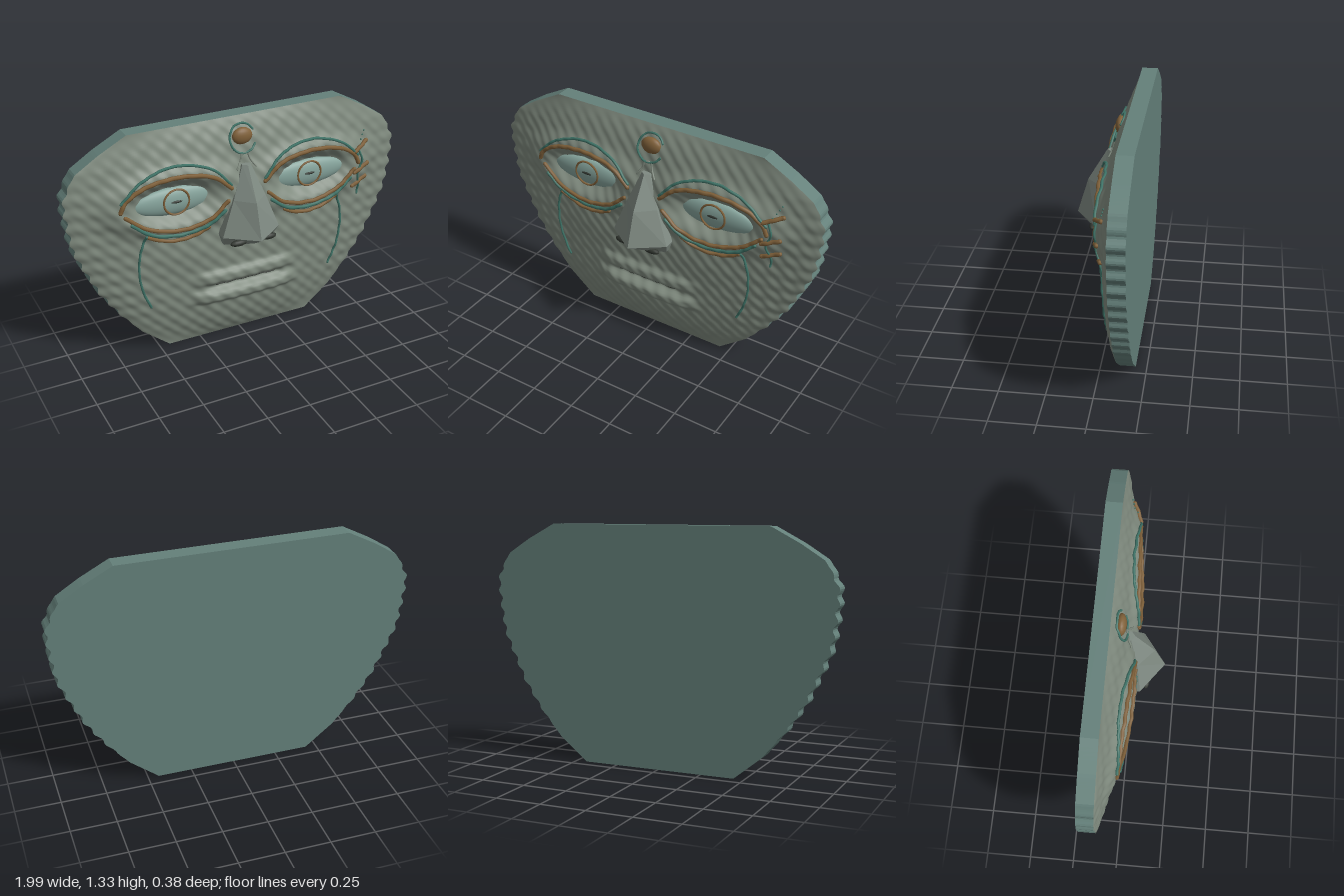
import * as THREE from 'three';

const H = 1.325, BACK = -0.19, EDGE = -0.1, ROWS = 130, COLS = 150;
const mat = (color, extra = {}) => new THREE.MeshStandardMaterial({ color, roughness: 0.8, ...extra });
const stone = mat(0x7f8a7e, { side: THREE.DoubleSide });
const slabMat = mat(0x64807a);
const noseMat = mat(0x7f8a82, { flatShading: true, side: THREE.DoubleSide });
const brown = mat(0x80613a), teal = mat(0x3f7468), eyeMat = mat(0x86a49c), dark = mat(0x30352f);

// half outline as [y, half width]
const OUTLINE = [[0, 0.44], [0.13, 0.6], [0.28, 0.725], [0.43, 0.825], [0.6, 0.905], [0.72, 0.955],
  [0.85, 0.975], [1, 0.99], [1.08, 0.965], [1.16, 0.915], [1.24, 0.79], [H, 0.63]];
function halfWidth(y) {
  let k = 1;
  while (k < OUTLINE.length - 1 && OUTLINE[k][0] < y) k++;
  const [y0, w0] = OUTLINE[k - 1], [y1, w1] = OUTLINE[k];
  const chips = 0.01 * Math.sin(y * 75) * THREE.MathUtils.smoothstep(y, 0.1, 0.4)
    * (1 - THREE.MathUtils.smoothstep(y, 1.05, 1.15));
  return w0 + (w1 - w0) * (y - y0) / (y1 - y0) + chips;
}

// height of the carved front
const bell = (d, s) => Math.exp(-((d / s) ** 2));
function surface(x, y) {
  const u = Math.min(1, Math.abs(x) / halfWidth(y)), v = 2 * y / H - 1;
  const inside = Math.max(0, 1 - u * u) ** 0.8 * Math.max(0, 1 - v ** 4);
  const ax = Math.abs(x);
  // eye sockets and their rims
  const e = Math.hypot((ax - 0.4) / 0.33, (y - 0.94) / 0.15);
  let z = EDGE + 0.1 * inside + 0.03 * bell(e - 1, 0.3) - 0.045 * Math.exp(-((e / 0.65) ** 4));
  // cheeks
  z += 0.012 * bell(ax - 0.35, 0.2) * bell(y - 0.62, 0.12);
  // lips
  const lip = (yc, w, h, s) => h * Math.exp(-(((y - yc) / s) ** 4)) * Math.exp(-((ax / w) ** 8));
  z += lip(0.425, 0.29, 0.028, 0.04) + lip(0.305, 0.3, 0.04, 0.04) - lip(0.37, 0.2, 0.012, 0.015);
  // tool marks
  return z + 0.0022 * Math.min(1, inside * 4) * (Math.sin((x + y) * 75) + 0.6 * Math.sin((x - y) * 48));
}

function faceGeometry() {
  const pos = [], idx = [];
  for (let j = 0; j <= ROWS; j++) {
    const y = H * j / ROWS, w = halfWidth(y);
    for (let i = 0; i <= COLS; i++) {
      const x = w * (2 * i / COLS - 1);
      pos.push(x, y, surface(x, y));
      if (i < COLS && j < ROWS) {
        const a = j * (COLS + 1) + i, c = a + COLS + 1;
        idx.push(a, a + 1, c, a + 1, c + 1, c);
      }
    }
  }
  const g = new THREE.BufferGeometry();
  g.setAttribute('position', new THREE.Float32BufferAttribute(pos, 3));
  g.setIndex(idx);
  g.computeVertexNormals();
  return g;
}

// flat slab behind the face
function slabGeometry() {
  const right = [];
  for (let j = 0; j <= ROWS; j++) right.push(new THREE.Vector2(halfWidth(H * j / ROWS), H * j / ROWS));
  const left = right.map(p => new THREE.Vector2(-p.x, p.y)).reverse();
  const g = new THREE.ExtrudeGeometry(new THREE.Shape([...right, ...left]), { depth: EDGE - BACK, bevelEnabled: false });
  return g.translate(0, 0, BACK);
}

// faceted nose lofted from sections [y, half width, side z, ridge z]
function noseGeometry() {
  const rings = [[0.64, 0.15, 0.03, 0.09], [0.7, 0.17, 0.06, 0.185], [0.9, 0.095, 0.04, 0.125], [1.08, 0.025, 0, 0.02]]
    .map(([y, w, s, r]) => [[-w, y, -0.06], [-w, y, s], [0, y, r], [w, y, s], [w, y, -0.06]]);
  const pos = [];
  const tri = (...p) => p.forEach(q => pos.push(...q));
  for (let k = 0; k < rings.length - 1; k++) {
    for (let i = 0; i < 4; i++) {
      const a = rings[k][i], b = rings[k][i + 1], c = rings[k + 1][i], d = rings[k + 1][i + 1];
      tri(a, b, c);
      tri(b, d, c);
    }
  }
  const bottom = rings[0], top = rings[3];
  for (let i = 1; i < 4; i++) {
    tri(bottom[0], bottom[i + 1], bottom[i]);
    tri(top[0], top[i], top[i + 1]);
  }
  const g = new THREE.BufferGeometry();
  g.setAttribute('position', new THREE.Float32BufferAttribute(pos, 3));
  g.computeVertexNormals();
  return g;
}

export function createModel() {
  const model = new THREE.Group();
  const add = (name, geo, material, parent = model) => {
    const m = new THREE.Mesh(geo, material);
    m.name = name;
    parent.add(m);
    return m;
  };
  // cord laid on the carved surface through [x, y] points
  const cord = (name, pts, r, material, parent = model, lift = 0.006) => {
    const path = new THREE.CatmullRomCurve3(pts.map(([x, y]) => new THREE.Vector3(x, y, 0)));
    const laid = path.getPoints(28).map(p => p.setZ(surface(p.x, p.y) + lift));
    add(name, new THREE.TubeGeometry(new THREE.CatmullRomCurve3(laid), 50, r, 6), material, parent);
    for (const p of [laid[0], laid[laid.length - 1]]) {
      add(name + 'End', new THREE.SphereGeometry(r, 6, 4).translate(p.x, p.y, p.z), material, parent);
    }
  };

  add('face', faceGeometry(), stone);
  add('backSlab', slabGeometry(), slabMat);
  add('nose', noseGeometry(), noseMat);

  for (const s of [1, -1]) {
    const eye = new THREE.Group();
    eye.name = s > 0 ? 'leftEye' : 'rightEye';
    model.add(eye);
    const side = pts => pts.map(([x, y]) => [s * x, y]);

    // almond eyeball, iris ring and pupil
    const ball = add('eyeball', new THREE.SphereGeometry(1, 40, 20), eyeMat, eye);
    ball.scale.set(0.24, 0.08, 0.04);
    ball.position.set(s * 0.4, 0.93, -0.055);
    const iris = add('iris', new THREE.TorusGeometry(0.072, 0.006, 6, 32), brown, eye);
    iris.position.set(s * 0.4, 0.935, -0.018);
    const pupil = add('pupil', new THREE.SphereGeometry(1, 12, 8), dark, eye);
    pupil.scale.set(0.032, 0.007, 0.006);
    pupil.position.set(s * 0.4, 0.937, -0.014);

    // lids and painted arcs
    cord('upperLid', side([[0.1, 0.97], [0.2, 1.05], [0.4, 1.085], [0.6, 1.05], [0.69, 0.99], [0.715, 0.94]]), 0.012, brown, eye);
    cord('browArc', side([[0.1, 0.99], [0.2, 1.09], [0.4, 1.138], [0.6, 1.085], [0.71, 0.99]]), 0.008, teal, eye);
    cord('lowerLid', side([[0.12, 0.9], [0.22, 0.82], [0.4, 0.785], [0.58, 0.825], [0.69, 0.905]]), 0.011, brown, eye);
    cord('lowerArc', side([[0.14, 0.85], [0.25, 0.775], [0.4, 0.75], [0.55, 0.78], [0.66, 0.86]]), 0.01, teal, eye);
    cord('cheekArc', side([[0.23, 0.765], [0.3, 0.73], [0.4, 0.715], [0.5, 0.73], [0.57, 0.765]]), 0.01, brown, eye);
    cord('tearLine', side([[0.58, 0.77], [0.615, 0.66], [0.622, 0.53], [0.6, 0.41], [0.56, 0.31]]), 0.007, teal, eye);

    // nostril and bridge mark
    const nostril = add('nostril', new THREE.SphereGeometry(1, 12, 8), dark);
    nostril.scale.set(0.05, 0.018, 0.02);
    nostril.position.set(s * 0.09, 0.665, 0.088);
    cord('bridgeMark', side([[0.02, 1.135], [0.03, 1.1], [0.055, 1.06]]), 0.005, stone);
  }
  cord('bridgeTop', [[-0.02, 1.135], [0, 1.14], [0.02, 1.135]], 0.005, stone);
  cord('mouthLine', [[-0.18, 0.375], [0, 0.375], [0.18, 0.375]], 0.005, dark, model, 0.002);

  // stitched scar at the outer corner of the left eye
  cord('scar', [[0.72, 1.01], [0.74, 0.95], [0.715, 0.87], [0.74, 0.78], [0.735, 0.73]], 0.006, teal);
  for (const y of [1.03, 0.9, 0.81]) {
    cord('stitch', [[0.69, y - 0.02], [0.735, y], [0.785, y + 0.02]], 0.012, brown);
  }
  for (let i = 0; i < 4; i++) {
    const x = 0.735 + 0.012 * i, y = 1.04 + 0.023 * i;
    add('scarDot', new THREE.SphereGeometry(0.005, 6, 4).translate(x, y, surface(x, y) + 0.005), teal);
  }

  // forehead bead with an open ring
  const bead = add('foreheadBead', new THREE.SphereGeometry(1, 20, 12), brown);
  bead.scale.set(0.06, 0.048, 0.03);
  bead.position.set(0, 1.222, surface(0, 1.222));
  const ring = [];
  for (let i = 0; i <= 16; i++) {
    const a = 0.5 + (Math.PI * 2 - 1) * i / 16;
    ring.push([0.076 * Math.cos(a), 1.212 + 0.076 * Math.sin(a)]);
  }
  cord('foreheadRing', ring, 0.006, teal);
  return model;
}
